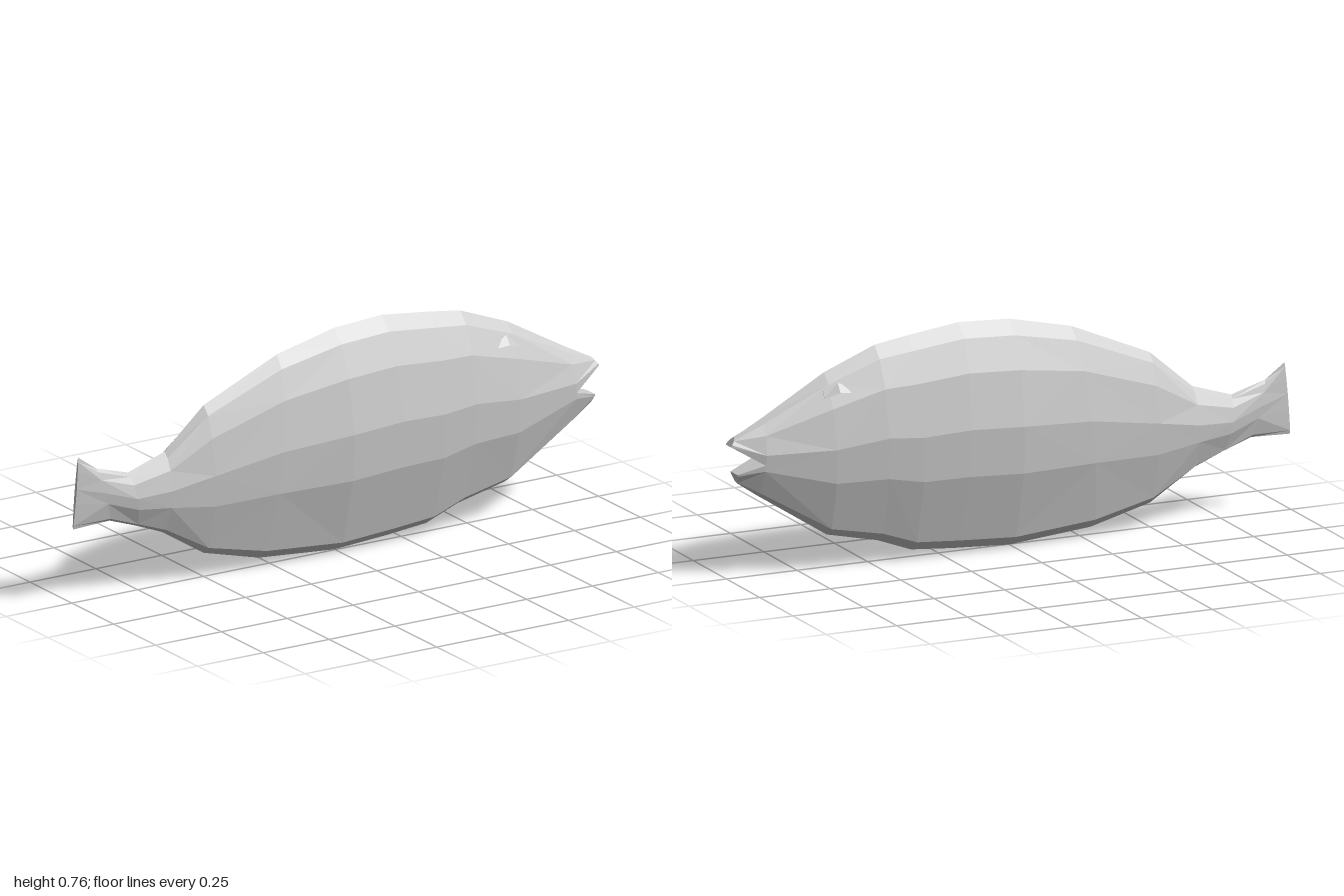
import * as THREE from 'three';

const material = new THREE.MeshStandardMaterial({ color: 0xcccccc, flatShading: true, side: THREE.DoubleSide });

// Half cross-section, belly to back: [height fraction, width fraction]
const belly = [[0, 0], [0.05, 0.43], [0.35, 0.93]];
const gape = [0.43, 0.957];
const back = [[0.56, 1], [0.8, 0.72], [0.94, 0.36], [1, 0]];

// Skin closed loops of points into a faceted surface
function loft(name, rings, capStart, capEnd) {
  const n = rings[0].length;
  const index = [];
  for (let i = 0; i < rings.length - 1; i++) {
    for (let j = 0; j < n; j++) {
      const k = (j + 1) % n;
      const a = i * n + j, b = a + n, c = (i + 1) * n + k, d = i * n + k;
      if ((i + j) % 2) index.push(a, b, c, a, c, d);
      else index.push(a, b, d, b, c, d);
    }
  }
  const end = (rings.length - 1) * n;
  for (let j = 1; j < n - 1; j++) {
    if (capStart) index.push(0, j, j + 1);
    if (capEnd) index.push(end, end + j + 1, end + j);
  }
  const indexed = new THREE.BufferGeometry();
  indexed.setAttribute('position', new THREE.Float32BufferAttribute(rings.flat(2), 3));
  indexed.setIndex(index);
  const geometry = indexed.toNonIndexed();
  geometry.computeVertexNormals();
  const mesh = new THREE.Mesh(geometry, material);
  mesh.name = name;
  return mesh;
}

const lean = x => -0.004 - 0.01 * x;

// Station: [x at belly, x at back, belly y, back y, half width]
function ring([x0, x1, y0, y1, w], profile) {
  const point = ([f, s], side) => {
    const x = x0 + (x1 - x0) * f;
    return [x, y0 + (y1 - y0) * f, lean(x) + side * s * w];
  };
  const left = profile.map(p => point(p, 1));
  const right = profile.filter(p => p[1] > 0).map(p => point(p, -1)).reverse();
  return [...left, ...right];
}

export function createModel() {
  const fish = new THREE.Group();
  fish.name = 'fish';

  // Body with tail, from tail edge to the corner of the mouth
  const head = [0.9, 0.88, 0.27, 0.525, 0.056];
  const stations = [
    [-1, -0.98, 0.25, 0.49, 0.006],
    [-0.86, -0.91, 0.255, 0.44, 0.022],
    [-0.76, -0.79, 0.22, 0.405, 0.04],
    [-0.66, -0.65, 0.18, 0.45, 0.055],
    [-0.5, -0.5, 0.08, 0.58, 0.073],
    [-0.29, -0.22, 0.025, 0.7, 0.098],
    [0, 0, 0, 0.75, 0.12],
    [0.2, 0.18, 0.012, 0.76, 0.12],
    [0.35, 0.36, 0.025, 0.738, 0.115],
    [0.47, 0.48, 0.07, 0.72, 0.108],
    [0.65, 0.66, 0.11, 0.65, 0.092],
    head,
  ];
  fish.add(loft('body', stations.map(s => ring(s, [...belly, ...back])), true, false));

  // Jaws: each continues one part of the head section and tapers to a lip
  const taper = (profile, lip) => {
    const from = profile[0][0], span = profile[profile.length - 1][0] - from;
    return ring(lip, profile.map(([f, s]) => [(f - from) / span, s]));
  };
  const upper = [gape, ...back], lower = [...belly, gape];
  fish.add(loft('upperJaw', [ring(head, upper), taper(upper, [1, 0.98, 0.445, 0.472, 0.02])], false, true));
  fish.add(loft('lowerJaw', [ring(head, lower), taper(lower, [0.97, 0.98, 0.318, 0.352, 0.028])], false, true));

  // Brow ridges over the eyes
  for (const side of [1, -1]) {
    const section = (x, y, inner, outer) => [
      [x, y - 0.004, lean(x) + side * inner],
      [x, y, lean(x) + side * outer],
      [x, y + 0.03, lean(x) + side * inner],
    ];
    const brow = loft('brow', [
      section(0.56, 0.585, 0.045, 0.056),
      section(0.63, 0.592, 0.04, 0.063),
      section(0.68, 0.575, 0.035, 0.048),
    ], true, true);
    fish.add(brow);
  }
  return fish;
}
